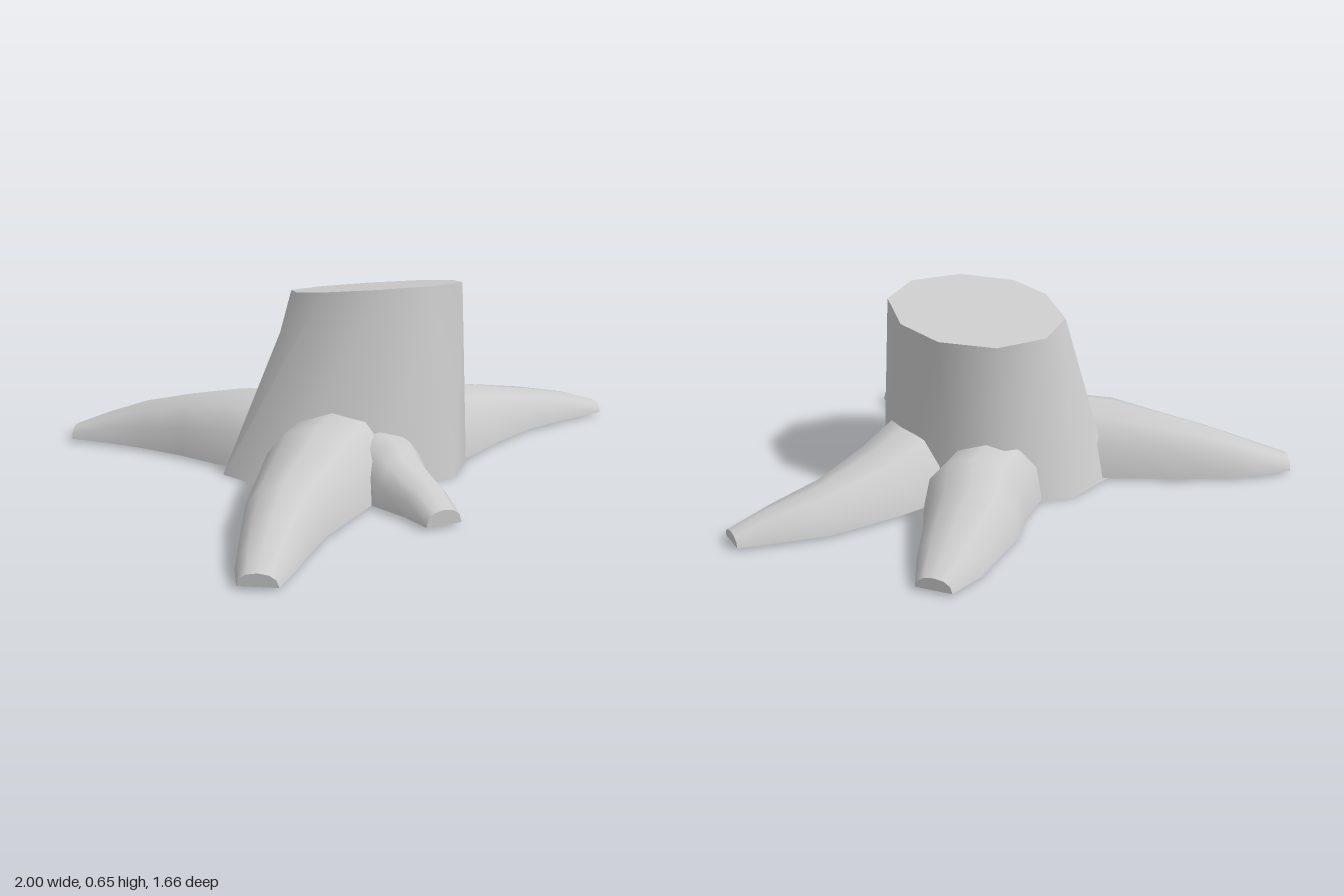
import * as THREE from 'three';
import { toCreasedNormals } from 'three/addons/utils/BufferGeometryUtils.js';

const material = new THREE.MeshStandardMaterial({ color: 0xcccccc });

// Skin a list of equal-length rings (counter-clockwise about the axis) and cap both ends.
function loft(rings) {
  const n = rings[0].length;
  const out = [];
  const tri = (a, b, c) => out.push(...a, ...b, ...c);
  for (let r = 0; r < rings.length - 1; r++) {
    for (let i = 0; i < n; i++) {
      const j = (i + 1) % n;
      const p = rings[r], q = rings[r + 1];
      tri(p[i], p[j], q[j]);
      tri(p[i], q[j], q[i]);
    }
  }
  const first = rings[0], last = rings[rings.length - 1];
  for (let i = 1; i < n - 1; i++) {
    tri(first[0], first[i + 1], first[i]);
    tri(last[0], last[i], last[i + 1]);
  }
  const geometry = new THREE.BufferGeometry();
  geometry.setAttribute('position', new THREE.Float32BufferAttribute(out, 3));
  return toCreasedNormals(geometry, 0.85);
}

// Arched, flat-bottomed section between two ground points a (left) and b (right).
function archRing([ax, az, bx, bz, h]) {
  const ring = [];
  for (let i = 0; i <= 6; i++) {
    const t = (i / 6) * Math.PI;
    const c = Math.sign(Math.cos(t)) * Math.abs(Math.cos(t)) ** 0.9;
    const k = (1 - c) / 2;
    ring.push([ax + (bx - ax) * k, 0.01 + (h - 0.01) * Math.sin(t) ** 0.9, az + (bz - az) * k]);
  }
  return ring;
}

// Trunk outlines as [x, z], base and slanted cut
const base = [[0.15, -0.34], [0.28, -0.18], [0.285, 0.05], [0.19, 0.26], [0.05, 0.375],
  [-0.25, 0.33], [-0.52, 0.13], [-0.58, -0.1], [-0.29, -0.41], [-0.06, -0.44]];
const cut = [[0.16, -0.29], [0.29, -0.15], [0.305, 0.02], [0.21, 0.2], [0.04, 0.27],
  [-0.15, 0.22], [-0.28, 0.07], [-0.29, -0.08], [-0.2, -0.26], [-0.03, -0.33]];

// Root stations from trunk to tip: [leftX, leftZ, rightX, rightZ, height]
const roots = {
  backRightRoot: [
    [-0.42, 0.02, -0.08, -0.2, 0.24], [-0.56, -0.18, -0.25, -0.42, 0.23], [-0.62, -0.34, -0.42, -0.59, 0.19],
    [-0.7, -0.5, -0.54, -0.7, 0.15], [-0.78, -0.63, -0.66, -0.78, 0.1], [-0.86, -0.74, -0.78, -0.83, 0.05]],
  frontRightRoot: [
    [-0.1, 0.28, -0.36, -0.02, 0.26], [-0.32, 0.44, -0.55, 0.11, 0.24], [-0.6, 0.59, -0.79, 0.4, 0.165],
    [-0.72, 0.68, -0.88, 0.54, 0.13], [-0.81, 0.755, -0.95, 0.65, 0.095], [-0.91, 0.83, -1, 0.75, 0.05]],
  frontRoot: [
    [-0.05, 0.2, -0.36, 0.2, 0.2], [-0.07, 0.36, -0.35, 0.4, 0.18], [-0.12, 0.46, -0.345, 0.47, 0.15],
    [-0.15, 0.6, -0.32, 0.6, 0.1], [-0.2, 0.73, -0.32, 0.71, 0.06]],
  leftRoot: [
    [0.1, -0.16, 0.1, 0.24, 0.24], [0.32, -0.17, 0.2, 0.26, 0.225], [0.48, -0.16, 0.4, 0.185, 0.18],
    [0.73, -0.12, 0.6, 0.13, 0.13], [0.9, -0.04, 0.8, 0.12, 0.09], [1, 0.01, 0.97, 0.12, 0.045]],
  backLeftRoot: [
    [-0.1, -0.3, 0.2, 0.02, 0.24], [0.04, -0.39, 0.3, -0.14, 0.22], [0.19, -0.46, 0.37, -0.16, 0.205],
    [0.3, -0.54, 0.48, -0.28, 0.175], [0.57, -0.65, 0.64, -0.43, 0.11], [0.71, -0.67, 0.76, -0.56, 0.05]],
};

export function createModel() {
  const stump = new THREE.Group();
  stump.name = 'treeStump';
  const add = (name, rings) => {
    const mesh = new THREE.Mesh(loft(rings), material);
    mesh.name = name;
    stump.add(mesh);
  };

  // Leaning trunk with a sloping cut
  add('trunk', [
    base.map(([x, z]) => [x, 0, z]).reverse(),
    cut.map(([x, z]) => [x, 0.605 + 0.16 * z - 0.04 * x, z]).reverse(),
  ]);

  // Spreading roots
  for (const [name, stations] of Object.entries(roots)) add(name, stations.map(archRing));
  return stump;
}
